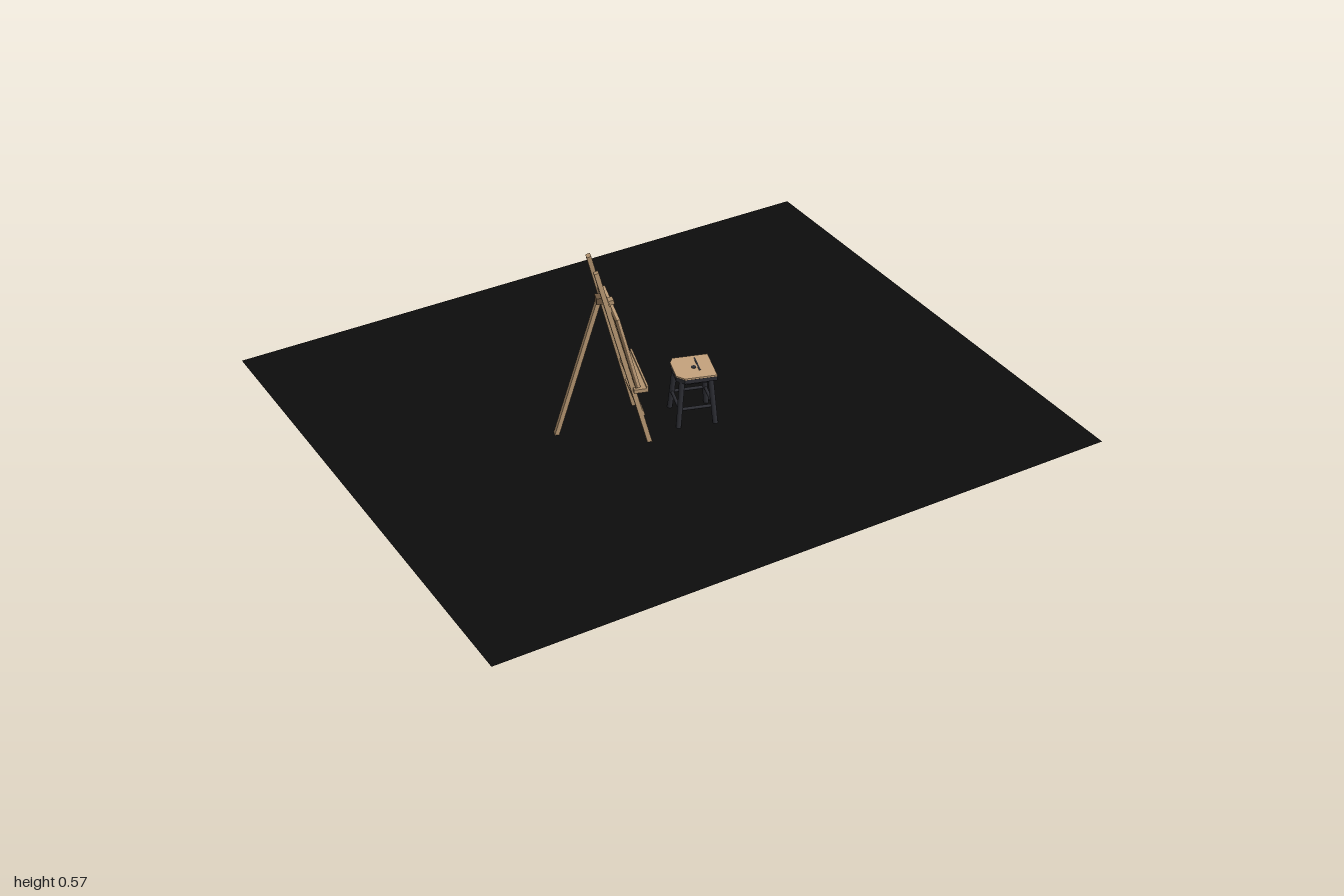
import * as THREE from 'three';

const mat = (name, color) => {
  const m = new THREE.MeshStandardMaterial({ color });
  m.name = name;
  return m;
};

export function createModel() {
  const floorBlack = mat('floor black', 0x0d0d0d);
  const wood = mat('easel wood', 0xb39470);
  const darkWood = mat('dark wood', 0x6e5840);
  const cloth = mat('canvas cloth', 0xc4a27c);
  const paint = mat('orange paint', 0xdc6e48);
  const charcoal = mat('stool charcoal', 0x2c2d33);
  const seatWood = mat('seat wood', 0xc4a27c);

  const model = new THREE.Group();
  model.name = 'easelAndStool';
  const V = (x, y, z) => new THREE.Vector3(x, y, z);

  const add = (parent, name, geo, material, x = 0, y = 0, z = 0) => {
    const m = new THREE.Mesh(geo, material);
    m.name = name;
    m.position.set(x, y, z);
    parent.add(m);
    return m;
  };

  // Rectangular bar between two points
  const beam = (parent, name, a, b, w, d, material) => {
    const dir = b.clone().sub(a);
    const mid = a.clone().add(b).multiplyScalar(0.5);
    const m = add(parent, name, new THREE.BoxGeometry(w, dir.length(), d), material, mid.x, mid.y, mid.z);
    m.quaternion.setFromUnitVectors(V(0, 1, 0), dir.normalize());
    return m;
  };

  // Round bar between two points
  const rod = (parent, name, a, b, rTop, rBottom, material) => {
    const dir = b.clone().sub(a);
    const mid = a.clone().add(b).multiplyScalar(0.5);
    const m = add(parent, name, new THREE.CylinderGeometry(rTop, rBottom, dir.length(), 12), material, mid.x, mid.y, mid.z);
    m.quaternion.setFromUnitVectors(V(0, 1, 0), dir.normalize());
    return m;
  };

  // Floor sheet
  const floorMaterial = floorBlack;
  floorMaterial.side = THREE.DoubleSide;
  const floor = add(model, 'floor', new THREE.PlaneGeometry(2, 1.685), floorMaterial, 0, 0.003, -0.003);
  floor.rotation.x = -Math.PI / 2;

  // Easel: local +x is the side the canvas faces
  const easel = new THREE.Group();
  easel.name = 'easel';
  easel.position.set(-0.108, 0, 0.067);
  easel.rotation.y = -0.29;
  model.add(easel);

  const lean = 0.25; // backward shift per unit of height
  const halfAt = (y) => 0.099 - 0.087 * y;
  for (const s of [-1, 1]) {
    beam(easel, 'frontLeg', V(0, 0.001, s * 0.099), V(-0.141, 0.563, s * 0.05), 0.014, 0.018, wood);
  }
  beam(easel, 'backLeg', V(-0.257, 0.001, 0), V(-0.122, 0.45, 0), 0.013, 0.018, wood);

  // Cross bars
  for (const y of [0.1, 0.447]) {
    const h = halfAt(y) + 0.008;
    const bar = add(easel, 'crossBar', new THREE.BoxGeometry(0.014, 0.018, 2 * h), wood, -lean * y + 0.004, y, 0);
    bar.rotation.z = Math.atan(lean);
  }
  add(easel, 'hinge', new THREE.BoxGeometry(0.03, 0.02, 0.03), darkWood, -0.118, 0.445, 0);

  // Tray holding the canvas
  add(easel, 'tray', new THREE.BoxGeometry(0.04, 0.012, 0.212), wood, -0.026, 0.183, 0);
  add(easel, 'trayLip', new THREE.BoxGeometry(0.006, 0.018, 0.212), wood, -0.006, 0.186, 0);

  // Canvas leaning on the legs; board y is measured along the slope
  const board = new THREE.Group();
  board.name = 'canvas';
  board.position.set(0.017, 0, 0);
  board.rotation.z = Math.atan(lean);
  easel.add(board);
  const slope = Math.sqrt(1 + lean * lean);
  const y0 = 0.19 * slope, y1 = 0.427 * slope, mid = (y0 + y1) / 2, hgt = y1 - y0;
  add(board, 'canvasSheet', new THREE.BoxGeometry(0.008, hgt, 0.194), cloth, 0.002, mid, 0);
  for (const s of [-1, 1]) {
    add(board, 'stretcherSide', new THREE.BoxGeometry(0.008, hgt, 0.018), darkWood, -0.005, mid, s * 0.088);
    add(board, 'stretcherEnd', new THREE.BoxGeometry(0.008, 0.018, 0.16), darkWood, -0.005, mid + s * (hgt / 2 - 0.009), 0);
  }
  add(board, 'canvasClamp', new THREE.BoxGeometry(0.022, 0.014, 0.022), wood, 0, y1 + 0.006, 0);

  // Brush stroke sweeping to the lower corner
  const P = (v, y) => new THREE.Vector2(-v, y * slope);
  const stroke = new THREE.Shape([
    P(-0.004, 0.235), P(-0.038, 0.198), P(-0.0965, 0.194), P(-0.0965, 0.257), P(-0.06, 0.268),
    P(-0.04, 0.285), P(-0.008, 0.312), P(0.003, 0.343), P(0.027, 0.343), P(0.029, 0.325),
    P(0.016, 0.308), P(0.013, 0.275),
  ]);
  const mark = add(board, 'paintStroke', new THREE.ShapeGeometry(stroke), paint, 0.0072, 0, 0);
  mark.rotation.y = Math.PI / 2;

  // Stool
  const stool = new THREE.Group();
  stool.name = 'stool';
  stool.position.set(0.042, 0, 0.11);
  stool.rotation.y = -0.3;
  model.add(stool);

  // Seat outline with two clipped corners on the easel side
  const seatGeo = (h, depth) => {
    const c = 0.022;
    const shape = new THREE.Shape([
      [h, -h], [h, h], [-h + c * 0.5, h], [-h, h - c], [-h, -h + c], [-h + c, -h],
    ].map(([x, y]) => new THREE.Vector2(x, y)));
    const g = new THREE.ExtrudeGeometry(shape, { depth, bevelEnabled: false });
    return g.rotateX(-Math.PI / 2);
  };
  add(stool, 'seat', seatGeo(0.06, 0.013), charcoal, 0, 0.153, 0);
  add(stool, 'seatTop', seatGeo(0.0595, 0.005), seatWood, 0, 0.166, 0);
  add(stool, 'seatGroove', new THREE.BoxGeometry(0.005, 0.002, 0.07), charcoal, 0.016, 0.1712, -0.012);
  add(stool, 'seatHole', new THREE.CylinderGeometry(0.008, 0.008, 0.002, 12), charcoal, 0.002, 0.1712, 0.002);

  // Splayed legs, with rails and rungs joining each neighbouring pair
  const foot = 0.056, top = 0.043;
  const corners = [[1, 1], [1, -1], [-1, -1], [-1, 1]];
  corners.forEach(([x, z], i) => {
    rod(stool, 'stoolLeg', V(x * foot, 0.001, z * foot), V(x * top, 0.155, z * top), 0.009, 0.008, charcoal);
    const [nx, nz] = corners[(i + 1) % 4];
    const r = 0.051, t = 0.044;
    rod(stool, 'rung', V(x * r, 0.061, z * r), V(nx * r, 0.061, nz * r), 0.005, 0.005, charcoal);
    rod(stool, 'seatRail', V(x * t, 0.147, z * t), V(nx * t, 0.147, nz * t), 0.006, 0.006, charcoal);
  });

  return model;
}
